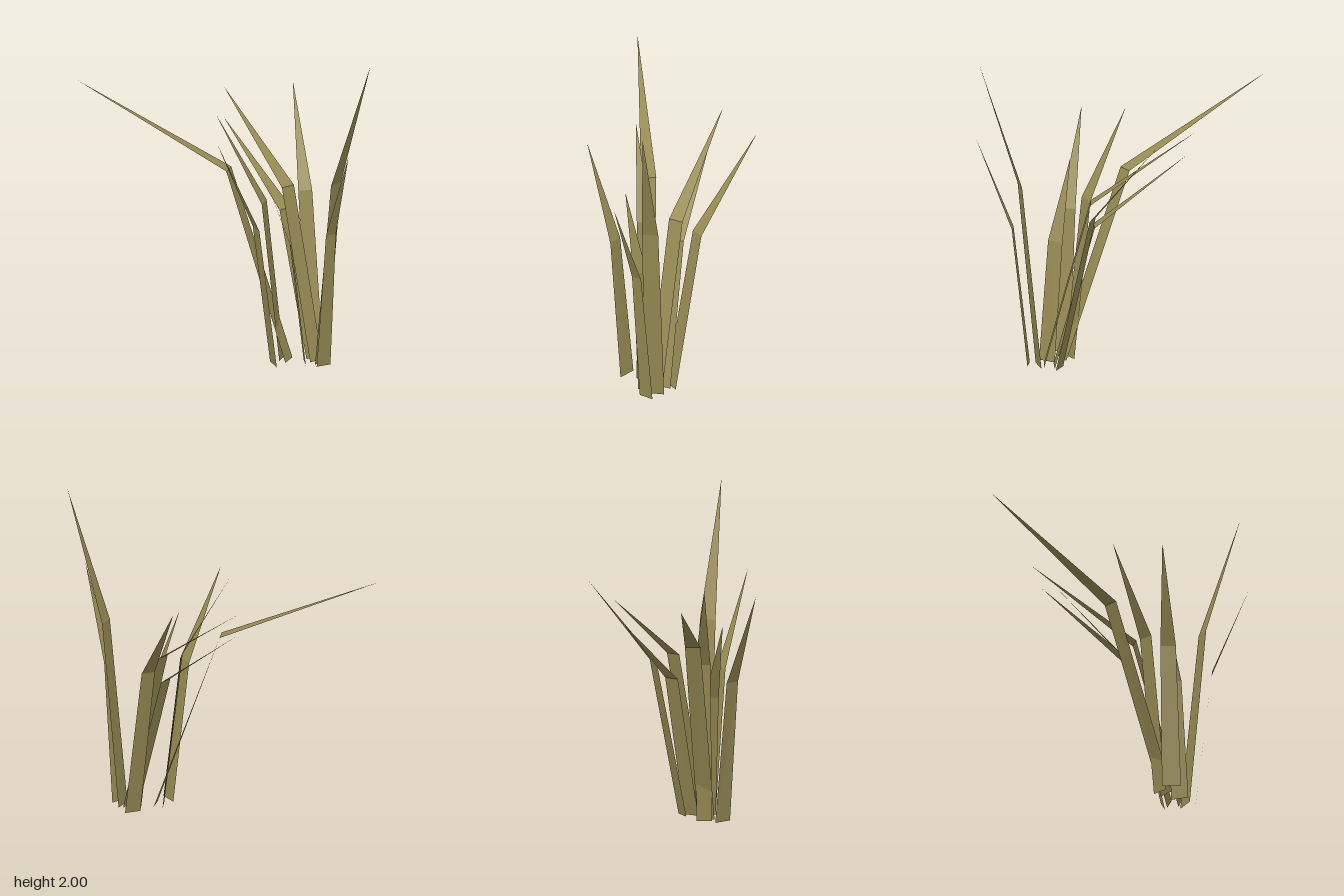
import * as THREE from 'three';

// Each blade: base edge at ground, height and edge of the bend, pointed tip.
// Edges are [x1, z1, x2, z2].
const BLADES = [
  { base: [0.38, 0.0, 0.415, 0.1], bendY: 1.165, bend: [-0.03, 0.11, 0.01, 0.195], tip: [-0.94, 1.6, 0.51] },
  { base: [0.52, -0.01, 0.535, -0.1], bendY: 1.05, bend: [0.24, -0.055, 0.255, -0.145], tip: [-0.39, 1.51, -0.205] },
  { base: [0.415, -0.09, 0.475, -0.17], bendY: 0.99, bend: [0.235, -0.205, 0.285, -0.275], tip: [-0.1, 1.54, -0.51] },
  { base: [0.327, 0.02, 0.37, 0.105], bendY: 1.0, bend: [0.22, 0.06, 0.26, 0.145], tip: [-0.03, 1.53, 0.24] },
  { base: [0.33, 0.145, 0.434, 0.195], bendY: 0.89, bend: [0.28, 0.245, 0.368, 0.28], tip: [0.2, 1.47, 0.48] },
  { base: [0.455, -0.02, 0.54, 0.05], bendY: 0.75, bend: [0.397, 0.04, 0.475, 0.1], tip: [0.32, 1.24, 0.2] },
  { base: [0.57, 0.0, 0.555, -0.12], bendY: 1.18, bend: [0.685, -0.02, 0.675, -0.12], tip: [0.94, 2.0, -0.1] },
  { base: [0.603, 0.02, 0.633, -0.07], bendY: 0.88, bend: [0.7, 0.04, 0.722, -0.025], tip: [0.93, 1.46, 0.083] },
  { base: [0.465, -0.035, 0.475, -0.135], bendY: 0.9, bend: [0.22, -0.055, 0.23, -0.145], tip: [-0.34, 1.34, -0.15] },
];

// A flat stalk quad with a folded triangular point above it
function bladeGeometry({ base, bendY, bend, tip }) {
  const a = [base[0], 0, base[1]], b = [base[2], 0, base[3]];
  const c = [bend[0], bendY, bend[1]], d = [bend[2], bendY, bend[3]];
  const geometry = new THREE.BufferGeometry();
  const corners = [a, b, d, a, d, c, c, d, tip].flat();
  geometry.setAttribute('position', new THREE.Float32BufferAttribute(corners, 3));
  geometry.computeVertexNormals();
  return geometry;
}

export function createModel() {
  const group = new THREE.Group();
  group.name = 'grassTuft';
  const dryGrass = new THREE.MeshStandardMaterial({ color: 0x968a54, side: THREE.DoubleSide });
  dryGrass.name = 'dry grass';
  BLADES.forEach((blade, i) => {
    const mesh = new THREE.Mesh(bladeGeometry(blade), dryGrass);
    mesh.name = `grassBlade${i + 1}`;
    group.add(mesh);
  });
  return group;
}
